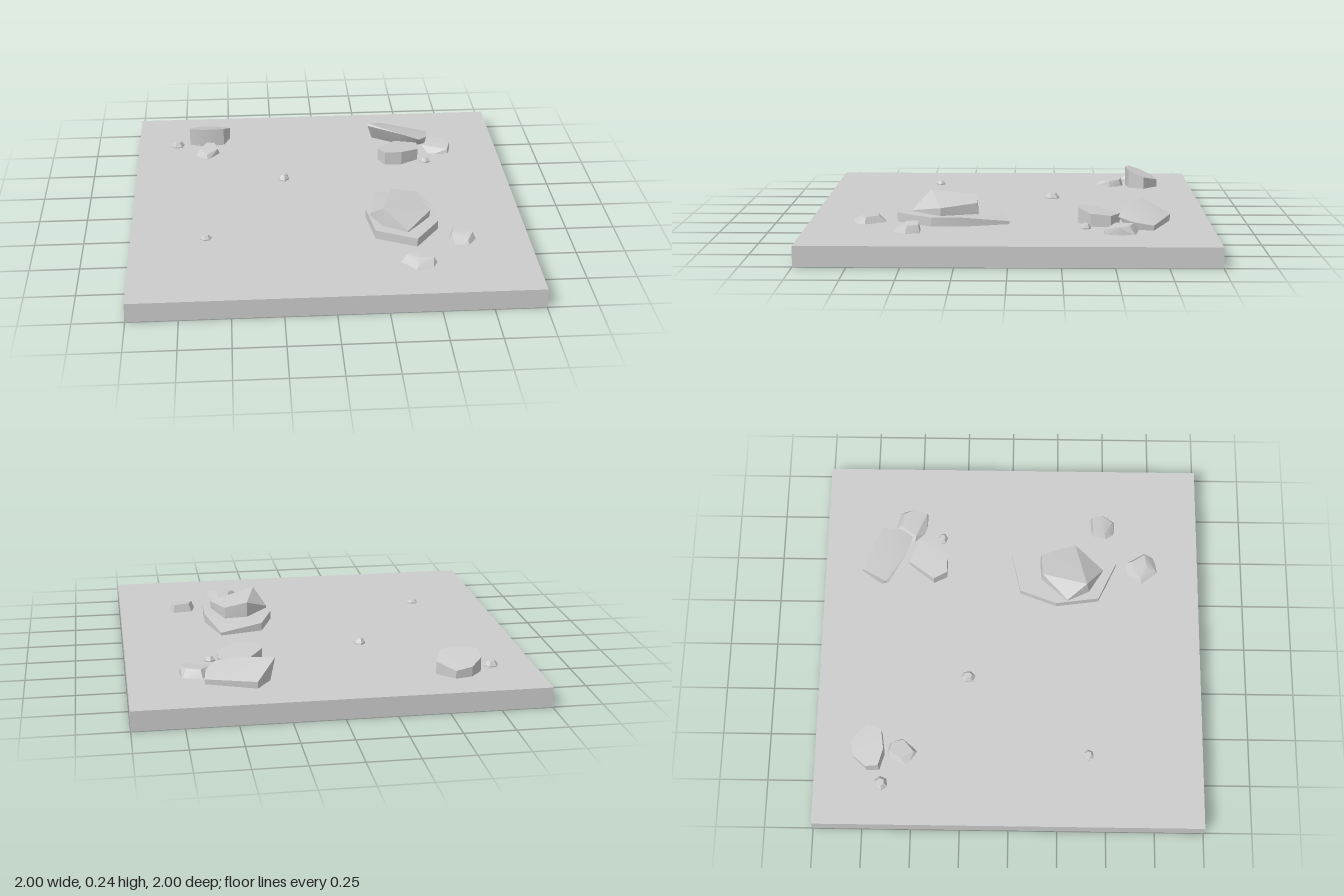
import * as THREE from 'three';
import { ConvexGeometry } from 'three/addons/geometries/ConvexGeometry.js';
import { toCreasedNormals } from 'three/addons/utils/BufferGeometryUtils.js';

const GROUND = 0.1;   // height of the ground surface
const SUNK = 0.09;    // rocks reach slightly below it

// Removes the downward triangles so a shape is open underneath
function openBottom(geometry) {
  const p = geometry.getAttribute('position');
  const kept = [];
  const tri = new THREE.Triangle();
  const n = new THREE.Vector3();
  for (let i = 0; i < p.count; i += 3) {
    tri.setFromAttributeAndIndices(p, i, i + 1, i + 2);
    if (tri.getNormal(n).y > -0.95) {
      for (const v of [tri.a, tri.b, tri.c]) kept.push(v.x, v.y, v.z);
    }
  }
  const open = new THREE.BufferGeometry();
  open.setAttribute('position', new THREE.Float32BufferAttribute(kept, 3));
  open.computeVertexNormals();
  return open;
}

// Faceted rock: base outline as [x, z], upper corners as [x, y, z]
function rockGeometry(base, top, baseY = SUNK) {
  const points = base.map(([x, z]) => new THREE.Vector3(x, baseY, z))
    .concat(top.map(([x, y, z]) => new THREE.Vector3(x, y, z)));
  return toCreasedNormals(openBottom(new ConvexGeometry(points)), 0.45);
}

// Upper corners of a slab following its outline, with a height for each corner
const raise = (outline, heights) =>
  outline.map(([x, z], i) => [x, Array.isArray(heights) ? heights[i] : heights, z]);

// Upper corners drawn in towards a centre
const shrink = (outline, [cx, cz], s, y) =>
  outline.map(([x, z]) => [cx + (x - cx) * s, y, cz + (z - cz) * s]);

export function createModel() {
  const group = new THREE.Group();
  const stone = new THREE.MeshStandardMaterial({ color: 0xcccccc, side: THREE.DoubleSide });
  stone.name = 'grey stone';

  const add = (name, geometry) => {
    const mesh = new THREE.Mesh(geometry, stone);
    mesh.name = name;
    group.add(mesh);
  };

  // Ground tile, hollow underneath
  const tile = new THREE.BoxGeometry(2, GROUND, 2).toNonIndexed();
  tile.translate(0, GROUND / 2, 0);
  add('groundTile', openBottom(tile));

  // Wide flat slab with a pointed boulder resting on it
  const slab = [[0.27, 0.05], [0.49, 0], [0.555, 0.23], [0.555, 0.385], [0.43, 0.56], [0.23, 0.465], [0.2, 0.24]];
  add('flatSlab', rockGeometry(slab, raise(slab, [0.142, 0.115, 0.145, 0.145, 0.145, 0.145, 0.145])));
  add('slabBoulder', rockGeometry(
    [[0.335, 0.16], [0.455, 0.15], [0.51, 0.34], [0.39, 0.49], [0.265, 0.42], [0.215, 0.3]],
    [[0.275, 0.236, 0.4], [0.335, 0.222, 0.165], [0.455, 0.2, 0.16], [0.52, 0.185, 0.34],
      [0.39, 0.15, 0.49], [0.215, 0.155, 0.3]], 0.11));

  // Leaning plate, raised and overhanging at the front
  add('leaningPlate', rockGeometry(
    [[0.39, -0.8], [0.63, -0.705], [0.61, -0.61], [0.56, -0.59], [0.46, -0.61], [0.32, -0.7]],
    [[0.29, 0.204, -0.665], [0.29, 0.195, -0.65], [0.47, 0.18, -0.56], [0.57, 0.155, -0.535],
      [0.62, 0.14, -0.6], [0.635, 0.125, -0.705], [0.39, 0.135, -0.805]]));

  // Wedge in front of the plate, tall at its front edge
  const wedge = [[0.43, -0.55], [0.55, -0.5], [0.545, -0.4], [0.45, -0.345], [0.36, -0.345], [0.325, -0.415]];
  add('frontWedge', rockGeometry(wedge, raise(wedge, [0.145, 0.155, 0.165, 0.175, 0.175, 0.165])));

  // Wedge near the back corner, sloping down to the back
  const block = [[-0.57, -0.815], [-0.49, -0.735], [-0.525, -0.655], [-0.63, -0.64], [-0.715, -0.665],
    [-0.715, -0.73], [-0.655, -0.795]];
  add('cornerWedge', rockGeometry(block, raise(block, [0.14, 0.165, 0.198, 0.203, 0.196, 0.173, 0.15])));

  // Medium stones
  add('sideStone', rockGeometry(
    [[0.635, -0.635], [0.735, -0.615], [0.745, -0.54], [0.725, -0.455], [0.62, -0.46], [0.555, -0.53]],
    [[0.645, 0.14, -0.605], [0.715, 0.14, -0.58], [0.74, 0.137, -0.53], [0.72, 0.125, -0.465],
      [0.585, 0.13, -0.52]]));
  add('backStone', rockGeometry(
    [[-0.66, -0.61], [-0.62, -0.63], [-0.58, -0.62], [-0.545, -0.55], [-0.615, -0.465], [-0.69, -0.52]],
    [[-0.655, 0.128, -0.56], [-0.62, 0.137, -0.615], [-0.575, 0.137, -0.6], [-0.56, 0.13, -0.545],
      [-0.62, 0.12, -0.49]]));
  add('rightStone', rockGeometry(
    [[0.61, 0.43], [0.715, 0.425], [0.735, 0.5], [0.695, 0.56], [0.62, 0.56], [0.59, 0.51]],
    [[0.63, 0.145, 0.44], [0.705, 0.14, 0.435], [0.715, 0.138, 0.49], [0.61, 0.14, 0.5],
      [0.685, 0.12, 0.545]]));
  add('frontStone', rockGeometry(
    [[0.39, 0.615], [0.45, 0.605], [0.515, 0.715], [0.485, 0.775], [0.395, 0.79], [0.325, 0.7]],
    [[0.39, 0.134, 0.66], [0.45, 0.134, 0.65], [0.49, 0.132, 0.715], [0.42, 0.135, 0.725],
      [0.36, 0.13, 0.69], [0.405, 0.112, 0.775]]));

  // Pebbles: x, z, half width, half depth, top height
  const pebbles = [
    [0.583, -0.375, 0.03, 0.026, 0.125],
    [-0.785, -0.655, 0.037, 0.037, 0.128],
    [-0.205, -0.22, 0.031, 0.039, 0.128],
    [-0.622, 0.41, 0.029, 0.028, 0.12],
  ];
  pebbles.forEach(([x, z, w, d, y], i) => {
    const outline = [];
    for (let k = 0; k < 6; k++) {
      const a = k * Math.PI / 3 + 0.4 + i * 0.5;
      outline.push([x + Math.cos(a) * w, z + Math.sin(a) * d]);
    }
    const shoulder = raise(outline, GROUND + 0.006);
    add('pebble' + (i + 1), rockGeometry(outline, shoulder.concat(shrink(outline, [x, z], 0.55, y))));
  });

  return group;
}
